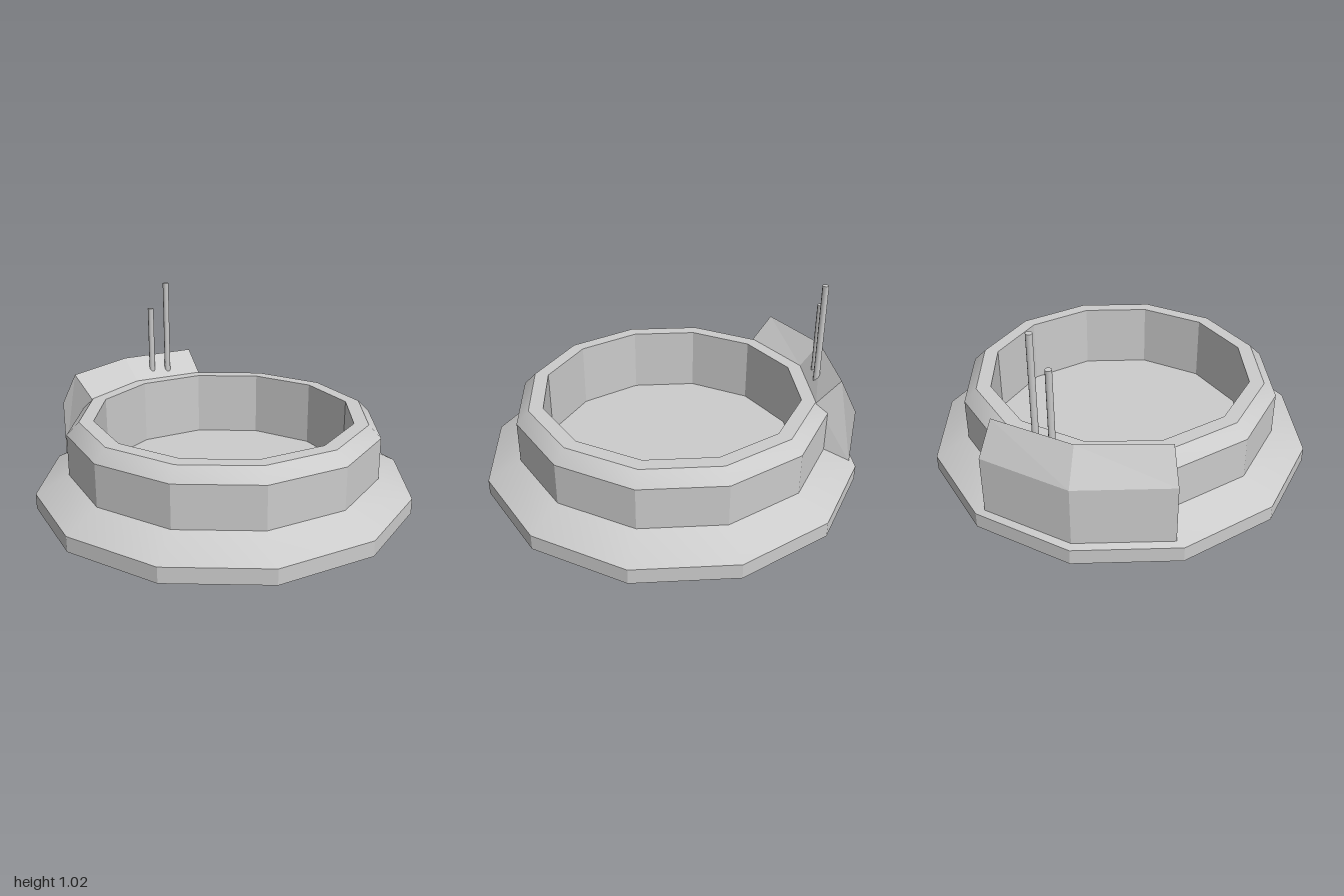
import * as THREE from 'three';
import { toCreasedNormals } from 'three/addons/utils/BufferGeometryUtils.js';

const SIDES = 12;
const material = new THREE.MeshStandardMaterial({ color: 0xcccccc, side: THREE.DoubleSide });

function addMesh(group, name, geometry) {
  const mesh = new THREE.Mesh(geometry, material);
  mesh.name = name;
  group.add(mesh);
  return mesh;
}

// Joins matching cross-sections into a closed solid with flat end caps.
function loft(sections) {
  const n = sections[0].length;
  const pos = [];
  const tri = (...pts) => pts.forEach((p) => pos.push(...p));
  for (let i = 0; i < sections.length - 1; i++) {
    for (let j = 0; j < n; j++) {
      const k = (j + 1) % n;
      const [a, b, c, d] = [sections[i][j], sections[i][k], sections[i + 1][k], sections[i + 1][j]];
      tri(a, b, c);
      tri(a, c, d);
    }
  }
  const first = sections[0];
  const last = sections[sections.length - 1];
  for (let j = 1; j < n - 1; j++) {
    tri(first[0], first[j + 1], first[j]);
    tri(last[0], last[j], last[j + 1]);
  }
  const geometry = new THREE.BufferGeometry();
  geometry.setAttribute('position', new THREE.Float32BufferAttribute(pos, 3));
  return geometry;
}

export function createModel() {
  const model = new THREE.Group();
  model.name = 'roundBasin';

  // Hollow shell: skirt, wall, bevelled rim and inner wall
  const profile = [
    [1, 0], [1, 0.08], [0.825, 0.17], [0.825, 0.39],
    [0.76, 0.455], [0.685, 0.455], [0.685, 0.1],
  ].map(([r, y]) => new THREE.Vector2(r, y));
  addMesh(model, 'basinShell', toCreasedNormals(new THREE.LatheGeometry(profile, SIDES), 0.51));

  // Sunken floor
  const floor = addMesh(model, 'basinFloor', new THREE.CircleGeometry(0.685, SIDES));
  floor.rotation.x = -Math.PI / 2;
  floor.position.y = 0.1;

  // Housing at the back, bent along the rim
  const heights = [0.09, 0.4, 0.575, 0.455, 0.09];
  const middleZ = [-0.97, -0.97, -0.872, -0.76, -0.76];
  const endZ = [-0.848, -0.848, -0.77, -0.65, -0.65];
  const endX = [0.46, 0.46, 0.42, 0.395, 0.395];
  const section = (side) => heights.map((y, i) => [side * endX[i], y, side ? endZ[i] : middleZ[i]]);
  const housing = loft([section(-1), section(0), section(1)]);
  housing.computeVertexNormals();
  addMesh(model, 'rearHousing', housing);

  // Two thin rods rising from the housing
  for (const [name, x, z, bottom, top] of [
    ['shortRod', 0.13, -0.775, 0.49, 0.875],
    ['tallRod', 0.22, -0.74, 0.475, 1.02],
  ]) {
    const rod = new THREE.CylinderGeometry(0.017, 0.017, top - bottom, 8);
    addMesh(model, name, toCreasedNormals(rod, 0.9)).position.set(x, (top + bottom) / 2, z);
  }

  return model;
}
